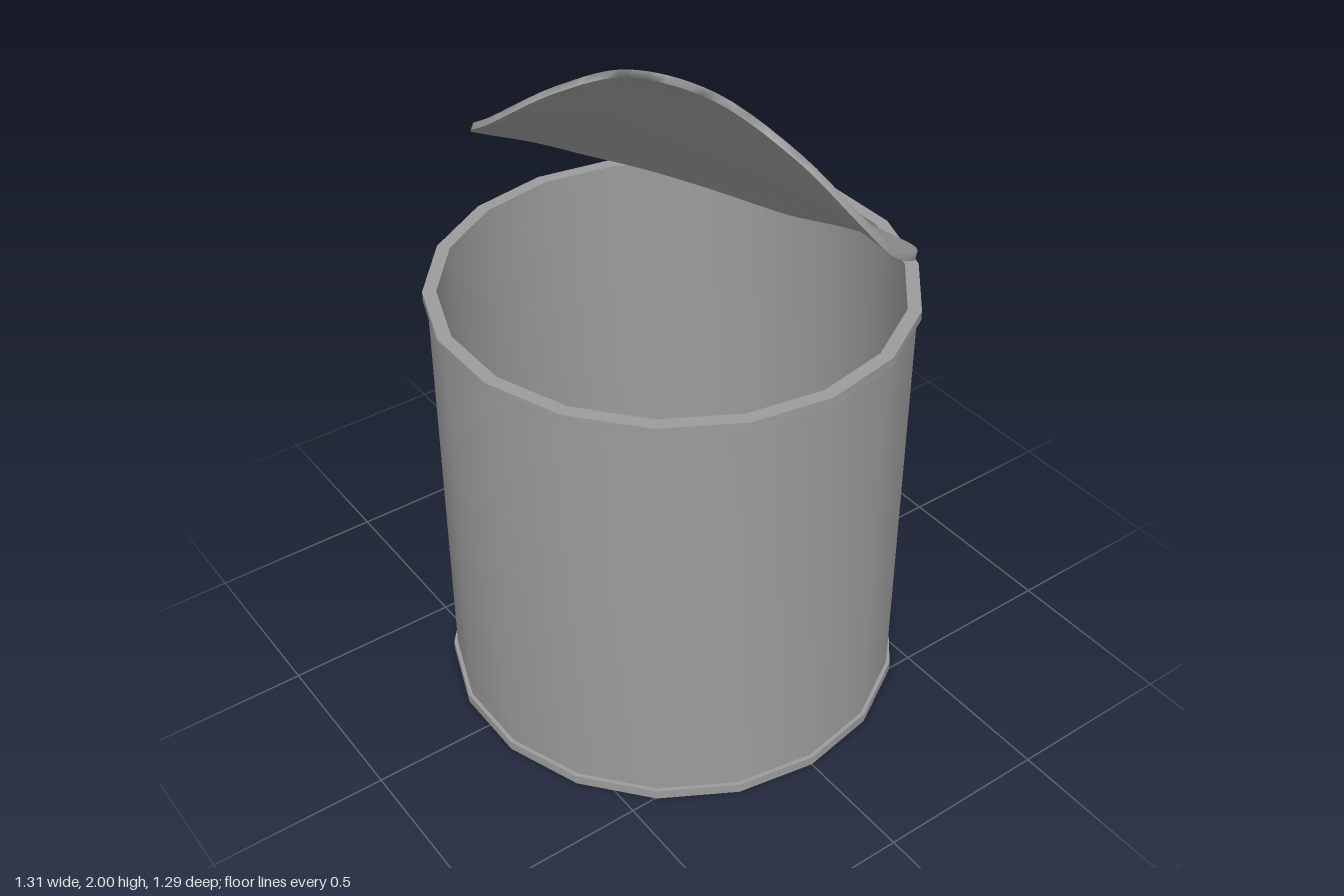
import * as THREE from 'three';
import { toCreasedNormals } from 'three/addons/utils/BufferGeometryUtils.js';

const material = new THREE.MeshStandardMaterial({ color: 0x9c9c9c });
const curve = (pts, closed) => new THREE.CatmullRomCurve3(pts.map((p) => new THREE.Vector3(...p)), closed);

// Lid rim: hinge, left edge up to the raised tip, then the right edge back down
const hinge = [-0.21, 1.18, -0.558];
const tip = [0.14, 1.992, 0.235];
const rim = curve([hinge,
  [-0.39, 1.22, -0.43], [-0.515, 1.28, -0.28], [-0.58, 1.35, -0.12], [-0.596, 1.43, 0.03],
  [-0.5, 1.575, 0.26], [-0.36, 1.68, 0.37], [-0.19, 1.785, 0.415], [0, 1.925, 0.335], tip,
  [0.3, 1.965, 0.11], [0.46, 1.835, -0.02], [0.56, 1.68, -0.13], [0.575, 1.56, -0.23],
  [0.5, 1.45, -0.38], [0.37, 1.36, -0.505], [0.2, 1.28, -0.585], [0, 1.22, -0.605]], true);
const spine = curve([hinge, [-0.19, 1.23, -0.5], [-0.15, 1.32, -0.42], [-0.1, 1.41, -0.32], [-0.06, 1.5, -0.22],
  [-0.02, 1.595, -0.12], [0.02, 1.7, -0.02], [0.06, 1.81, 0.07], [0.1, 1.915, 0.155], tip], false);
const lidUp = new THREE.Vector3(-0.35, 0.72, -0.6).normalize();

// Point on the bent lid: t from hinge to tip, w from left edge to right edge
function lidPoint(t, w, lift) {
  return new THREE.Vector3()
    .addScaledVector(rim.getPoint(t / 2), (1 - w) * (1 - 2 * w))
    .addScaledVector(spine.getPoint(t), 4 * w * (1 - w))
    .addScaledVector(rim.getPoint(1 - t / 2), w * (2 * w - 1))
    .addScaledVector(lidUp, lift);
}

// Rows and columns are packed closer together near the borders
const ease = (f) => (1 - Math.cos(Math.PI * f)) / 2;

// Closed plate following the lid; place(k, q, isTop) gives its [t, w] for k in 0..1, q in -1..1
function plate(place, low, high, rows, cols, crease) {
  const pos = [], index = [], ring = 2 * (cols + 1);
  for (let i = 0; i <= rows; i++) {
    for (let j = 0; j < ring; j++) {
      const top = j <= cols;
      const q = 2 * ease((top ? j : ring - 1 - j) / cols) - 1;
      const [t, w] = place(ease(i / rows), q, top);
      pos.push(...lidPoint(t, w, top ? high : low).toArray());
    }
  }
  const quad = (a, b, c, d) => index.push(a, b, c, a, c, d);
  for (let i = 0; i < rows; i++) {
    for (let j = 0; j < ring; j++) {
      const a = i * ring + j, d = i * ring + (j + 1) % ring;
      quad(a, a + ring, d + ring, d);
    }
  }
  // End caps
  const last = rows * ring;
  for (let j = 0; j < cols; j++) {
    const u = ring - 1 - j;
    quad(j, j + 1, u - 1, u);
    quad(last + j, last + u, last + u - 1, last + j + 1);
  }
  const geometry = new THREE.BufferGeometry();
  geometry.setAttribute('position', new THREE.Float32BufferAttribute(pos, 3));
  geometry.setIndex(index);
  return toCreasedNormals(geometry, crease);
}

export function createModel() {
  const group = new THREE.Group();
  const add = (name, geometry) => {
    const mesh = new THREE.Mesh(geometry, material);
    mesh.name = name;
    group.add(mesh);
  };

  // Hollow can with raised rims and a recessed base
  const profile = [[0, 0.095], [0.62, 0.095], [0.62, 0], [0.657, 0], [0.657, 0.028], [0.646, 0.028],
    [0.646, 1.245], [0.657, 1.245], [0.657, 1.273], [0.62, 1.273], [0.62, 0.105], [0, 0.105]]
    .map(([r, y]) => new THREE.Vector2(r, y));
  add('canBody', toCreasedNormals(new THREE.LatheGeometry(profile, 18, Math.PI / 2), 0.6));

  // Peeled-back lid with a softly rounded edge
  add('lid', plate((k, q) => [k, 0.5 + q / 2], -0.01, 0.01, 54, 18, 1.7));

  // Tapered pull tab with sloping sides and a straight wide end
  add('pullTab', plate((k, q, top) => {
    const flare = top ? 0 : 0.02;
    const half = 0.03 + 0.06 * k + 0.07 * k * k + flare;
    const t = 0.67 + 0.155 * k + 0.03 * k * (1 - q * q) + flare * (k - 0.5);
    return [t, 0.5 + half * q];
  }, 0.005, 0.024, 8, 8, 0.5));

  return group;
}
